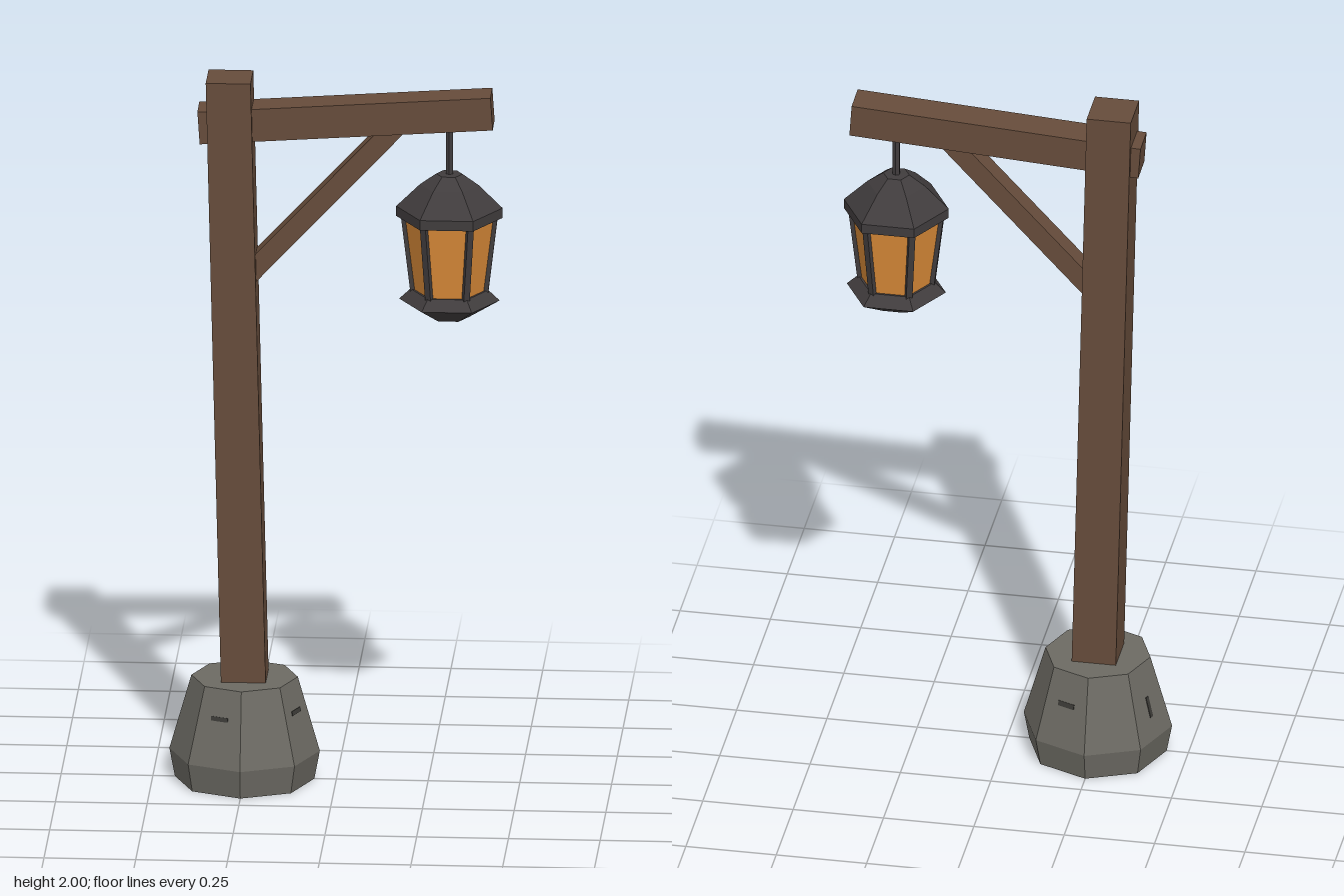
import * as THREE from 'three';

const mat = (name, color) => {
  const m = new THREE.MeshStandardMaterial({ color, flatShading: true });
  m.name = name;
  return m;
};

export function createModel() {
  const wood = mat('wood', 0x664c3b);
  const stone = mat('stone', 0x6c6a63);
  const crackDark = mat('crack', 0x3a3935);
  const iron = mat('iron', 0x403c3d);
  const glass = mat('amberGlass', 0xd98a38);

  const model = new THREE.Group();
  model.name = 'lanternPost';

  const add = (parent, name, geometry, material) => {
    const mesh = new THREE.Mesh(geometry, material);
    mesh.name = name;
    parent.add(mesh);
    return mesh;
  };
  // Faceted solid from [radius, height] pairs, bottom to top
  const turned = (profile, sides) => new THREE.LatheGeometry(
    profile.map(([r, y]) => new THREE.Vector2(r, y)), sides, Math.PI / 2);
  // Square bar running between two points
  const bar = (parent, name, a, b, width, depth, material) => {
    const dir = b.clone().sub(a);
    const mesh = add(parent, name, new THREE.BoxGeometry(width, dir.length(), depth), material);
    mesh.position.copy(a).add(b).multiplyScalar(0.5);
    mesh.quaternion.setFromUnitVectors(new THREE.Vector3(0, 1, 0), dir.normalize());
    return mesh;
  };

  // Stone footing
  const footing = new THREE.Group();
  footing.name = 'footing';
  footing.position.x = -0.25;
  model.add(footing);
  add(footing, 'footingStone',
    turned([[0, 0], [0.19, 0], [0.205, 0.08], [0.145, 0.29], [0, 0.29]], 8), stone);

  // Small chips on the sloped stone faces
  const slope = Math.atan2(0.06 * Math.cos(Math.PI / 8), 0.21);
  const chips = [[7, 0.21, 0.05, 0.012], [1, 0.21, 0.05, 0.012],
    [3, 0.2, 0.05, 0.014], [5, 0.17, 0.012, 0.06]];
  for (const [face, y, w, h] of chips) {
    const holder = new THREE.Group();
    holder.name = 'chipHolder';
    holder.rotation.y = (face + 0.5) * Math.PI / 4;
    footing.add(holder);
    const chip = add(holder, 'chip', new THREE.BoxGeometry(w, h, 0.004), crackDark);
    const radius = 0.205 - 0.06 * (y - 0.08) / 0.21;
    chip.position.set(0, y, radius * Math.cos(Math.PI / 8));
    chip.rotation.x = -slope;
  }

  // Leaning post with level ends
  const postGeo = new THREE.BoxGeometry(0.122, 1.75, 0.124);
  postGeo.applyMatrix4(new THREE.Matrix4().set(
    1, -0.0242, 0, 0, 0, 1, 0, 0, 0, 0, 1, 0, 0, 0, 0, 1));
  add(model, 'post', postGeo, wood).position.set(-0.27, 1.125, 0);

  // Cross beam through the post, rising towards the lantern
  const beam = add(model, 'beam', new THREE.BoxGeometry(0.8, 0.092, 0.094), wood);
  beam.position.set(0.026, 1.893, -0.004);
  beam.rotation.set(0, 0.008, 0.067);

  // Diagonal brace
  bar(model, 'brace', new THREE.Vector3(-0.25, 1.43, 0),
    new THREE.Vector3(0.165, 1.875, 0), 0.055, 0.06, wood);

  // Hanging lantern
  const lantern = new THREE.Group();
  lantern.name = 'lantern';
  lantern.position.x = 0.308;
  model.add(lantern);
  add(lantern, 'hangerRod', new THREE.CylinderGeometry(0.011, 0.011, 0.16, 6), iron)
    .position.y = 1.8;
  add(lantern, 'roof', turned([[0, 1.612], [0.145, 1.612], [0.145, 1.64],
    [0.08, 1.704], [0.036, 1.735], [0, 1.737]], 6), iron);
  add(lantern, 'glassPanes', turned([[0.098, 1.395], [0.126, 1.62]], 6), glass);
  add(lantern, 'lowerCup', turned([[0, 1.326], [0.055, 1.328], [0.137, 1.376],
    [0.106, 1.405], [0, 1.405]], 6), iron);

  // Corner bars of the lantern cage
  for (let i = 0; i < 6; i++) {
    const side = new THREE.Group();
    side.name = 'cageCorner';
    side.rotation.y = i * Math.PI / 3;
    lantern.add(side);
    bar(side, 'cageBar', new THREE.Vector3(0.097, 1.39, 0),
      new THREE.Vector3(0.125, 1.625, 0), 0.016, 0.018, iron);
  }

  return model;
}
